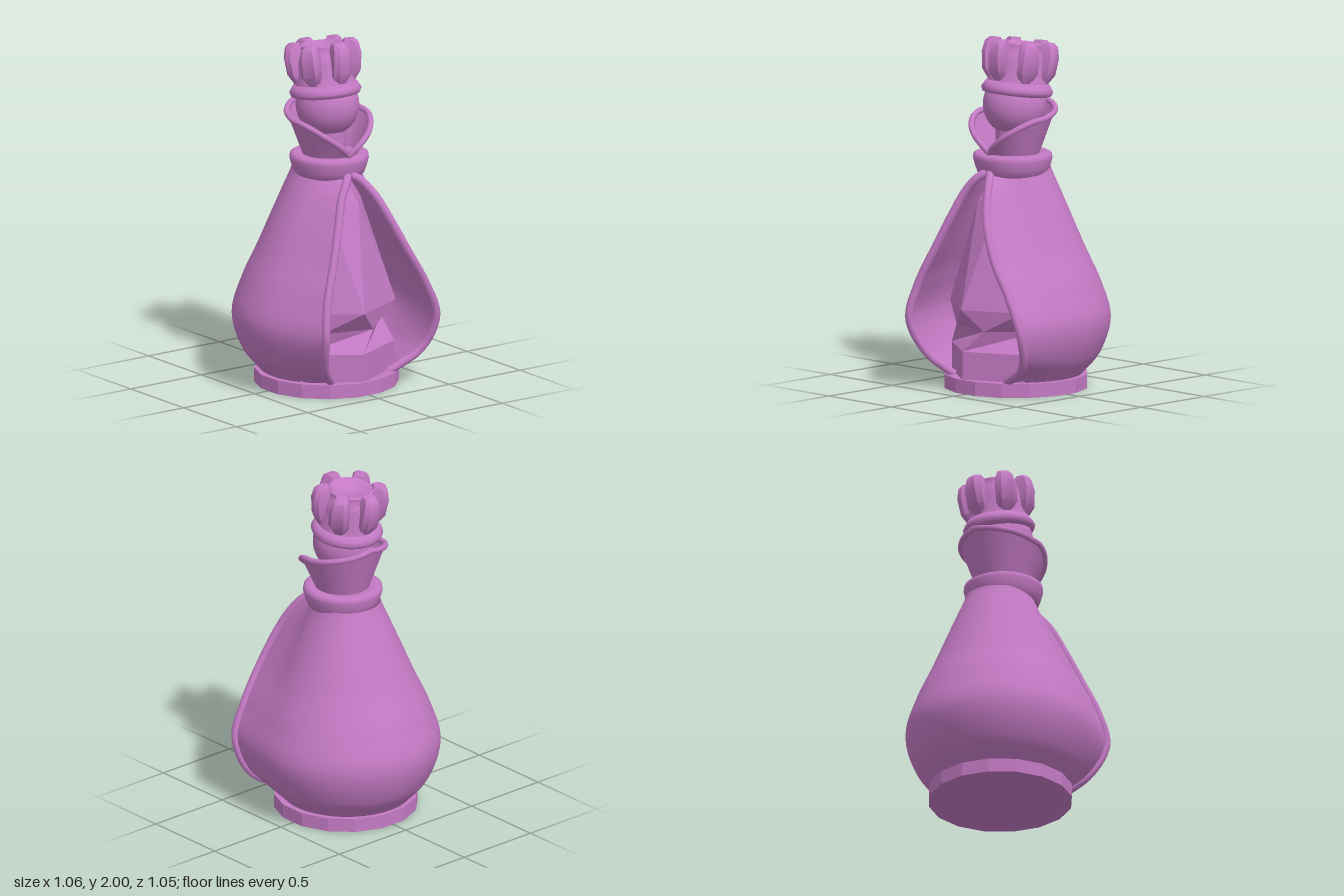
import * as THREE from 'three';
import { toCreasedNormals } from 'three/addons/utils/BufferGeometryUtils.js';
import { ParametricGeometry } from 'three/addons/geometries/ParametricGeometry.js';

const COLOR = 0xc47ac4;
const smooth = new THREE.MeshStandardMaterial({ color: COLOR });
const faceted = new THREE.MeshStandardMaterial({ color: COLOR, flatShading: true });
const thin = new THREE.MeshStandardMaterial({ color: COLOR, side: THREE.DoubleSide });

function part(parent, name, geometry, material = smooth) {
  const mesh = new THREE.Mesh(geometry, material);
  mesh.name = name;
  parent.add(mesh);
  return mesh;
}

const lathe = (points) =>
  new THREE.LatheGeometry(points.map(([r, y]) => new THREE.Vector2(r, y)), 48);

// Joins rings of [x, y, z] corners, bottom to top, and caps both ends.
function loft(rings) {
  const n = rings[0].length;
  const out = [];
  for (let i = 0; i < rings.length - 1; i++) {
    for (let j = 0; j < n; j++) {
      const k = (j + 1) % n;
      const [a, b, c, d] = [rings[i][j], rings[i][k], rings[i + 1][k], rings[i + 1][j]];
      out.push(...a, ...b, ...c, ...a, ...c, ...d);
    }
  }
  const top = rings[rings.length - 1];
  for (let j = 1; j < n - 1; j++) {
    out.push(...top[0], ...top[j], ...top[j + 1]);
    out.push(...rings[0][0], ...rings[0][j + 1], ...rings[0][j]);
  }
  const g = new THREE.BufferGeometry();
  g.setAttribute('position', new THREE.Float32BufferAttribute(out, 3));
  g.computeVertexNormals();
  return g;
}

// Cloak rows: height, back radius, then x and z of the right and left hems.
const ROWS = [
  [0.08, 0.37, -0.19, 0.31, 0.22, 0.30],
  [0.20, 0.47, -0.31, 0.41, 0.41, 0.36],
  [0.40, 0.53, -0.365, 0.495, 0.46, 0.43],
  [0.60, 0.475, -0.33, 0.46, 0.38, 0.44],
  [0.80, 0.385, -0.25, 0.41, 0.26, 0.44],
  [1.00, 0.30, -0.17, 0.35, 0.16, 0.40],
  [1.14, 0.24, -0.11, 0.30, 0.10, 0.335],
  [1.22, 0.205, -0.05, 0.265, 0.05, 0.27],
  [1.26, 0.19, 0, 0.21, 0, 0.21],
];
const spline = (f) => new THREE.CatmullRomCurve3(ROWS.map((r) => new THREE.Vector3(...f(r))));
const backCurve = spline((r) => [r[1], r[0], 0]);
const rightHem = spline((r) => [r[2], r[0], r[3]]);
const leftHem = spline((r) => [r[4], r[0], r[5]]);

// Round at the back, swelling into a pointed flap at each hem.
function cloakPoint(u, v, target) {
  const back = backCurve.getPoint(v);
  const a = leftHem.getPoint(v);
  const b = rightHem.getPoint(v);
  const start = Math.atan2(a.x, a.z);
  const end = Math.PI * 2 + Math.atan2(b.x, b.z);
  const angle = start + (end - start) * u;
  const flare = (hem, d) => (Math.hypot(hem.x, hem.z) - back.x) * Math.max(0, 1 - d / 0.85) ** 3;
  const r = back.x + flare(a, angle - start) + flare(b, end - angle);
  target.set(r * Math.sin(angle), back.y, r * Math.cos(angle));
}

// Rim of the raised neck collar: a V at the front, highest at the back.
function rimPoint(angle) {
  const c = Math.abs(angle);
  const r = 0.195 + 0.05 * Math.sin(Math.min(c * 2, Math.PI / 2)) - 0.005 * c;
  const q = Math.PI / 2;
  const y = 1.36 + 0.2 * Math.sin(Math.min(c, q)) + 0.07 * Math.max(0, (c - q) / q);
  return new THREE.Vector3(r * Math.sin(angle), y, r * Math.cos(angle) + 0.025);
}

export function createModel() {
  const model = new THREE.Group();
  model.name = 'cloakedPiece';

  // Base
  const base = part(model, 'base',
    new THREE.CylinderGeometry(0.41, 0.41, 0.08, 16, 1, false, Math.PI / 16), faceted);
  base.position.set(0, 0.04, 0.01);

  // Folded, twisted hexagonal body: height, radius, twist in degrees
  const bodyRows = [
    [0.07, 0.36, -5], [0.24, 0.36, -5], [0.36, 0.31, 15],
    [0.48, 0.37, -5], [1.07, 0.19, -40], [1.22, 0.1, -40],
  ];
  part(model, 'body', loft(bodyRows.map(([y, r, twist]) =>
    Array.from({ length: 6 }, (_, i) => {
      const a = THREE.MathUtils.degToRad(twist + i * 60);
      return [r * Math.sin(a), y, r * Math.cos(a) + 0.045];
    }))), faceted);

  // Cloak and its rolled hem
  part(model, 'cloak', new ParametricGeometry(cloakPoint, 96, 48), thin);
  const hemPath = [];
  for (let i = 0; i <= 20; i++) hemPath.push(rightHem.getPoint(i / 20));
  for (let i = 19; i >= 0; i--) hemPath.push(leftHem.getPoint(i / 20));
  part(model, 'cloakHem',
    new THREE.TubeGeometry(new THREE.CatmullRomCurve3(hemPath), 160, 0.024, 10));

  // Neck, shoulder ring and raised collar
  const neck = part(model, 'neck', new THREE.CylinderGeometry(0.1, 0.1, 0.35, 32));
  neck.position.set(0, 1.31, 0.03);
  const ring = part(model, 'shoulderRing', lathe([
    [0.1, 1.22], [0.18, 1.222], [0.2, 1.235], [0.213, 1.27], [0.225, 1.315],
    [0.222, 1.34], [0.205, 1.35], [0.17, 1.35], [0.1, 1.33],
  ]));
  ring.position.z = 0.035;
  part(model, 'collar', new ParametricGeometry((u, v, target) => {
    const angle = (u * 2 - 1) * Math.PI;
    target.set(0.15 * Math.sin(angle), 1.33, 0.15 * Math.cos(angle) + 0.04)
      .lerp(rimPoint(angle), v);
  }, 64, 8), thin);
  const rim = Array.from({ length: 48 }, (_, i) => rimPoint(((i - 24) / 24) * Math.PI));
  part(model, 'collarRim',
    new THREE.TubeGeometry(new THREE.CatmullRomCurve3(rim, true), 128, 0.017, 8, true));

  // Head
  const head = part(model, 'head', new THREE.SphereGeometry(0.18, 40, 28));
  head.position.set(0, 1.62, 0.02);

  // Crown, leaning back
  const crown = new THREE.Group();
  crown.name = 'crown';
  crown.position.set(0, 1.7, 0);
  crown.rotation.x = -0.13;
  model.add(crown);
  part(crown, 'crownBrim', lathe([
    [0, -0.03], [0.17, -0.03], [0.195, -0.022], [0.205, 0], [0.195, 0.02], [0.178, 0.045], [0, 0.05],
  ]));
  part(crown, 'crownCore', toCreasedNormals(lathe([
    [0.178, 0.03], [0.16, 0.09], [0.155, 0.17], [0.145, 0.21], [0.128, 0.235],
    [0.13, 0.262], [0.118, 0.27], [0.09, 0.262], [0.06, 0.245], [0, 0.24],
  ]), 0.8));

  // Six crown prongs: height, inner radius, outer radius, half width
  const prongRows = [
    [0.045, 0.11, 0.17, 0.03], [0.1, 0.11, 0.205, 0.062], [0.2, 0.11, 0.218, 0.06],
    [0.262, 0.12, 0.207, 0.047], [0.282, 0.13, 0.185, 0.036],
  ];
  const prong = toCreasedNormals(loft(prongRows.map(([y, rin, rout, w]) => {
    const mid = rout - 0.025;
    return [[-w * 0.7, y, rin], [-w, y, mid], [-w * 0.6, y, rout],
      [w * 0.6, y, rout], [w, y, mid], [w * 0.7, y, rin]];
  })), 0.75);
  for (let i = 0; i < 6; i++) {
    part(crown, 'crownProng', prong).rotation.y = (i * Math.PI) / 3;
  }

  return model;
}
